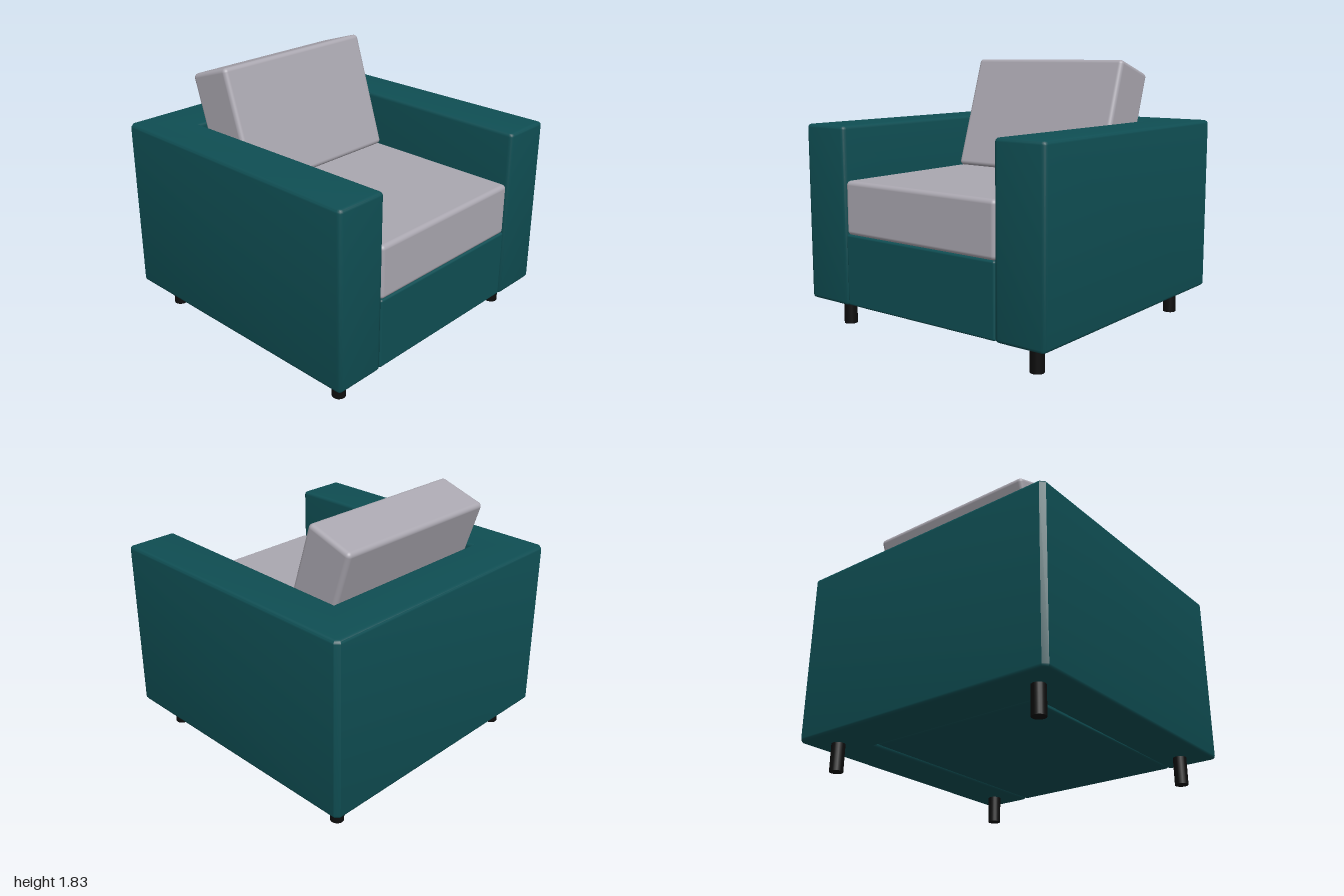
import * as THREE from 'three';
import { toCreasedNormals } from 'three/addons/utils/BufferGeometryUtils.js';
import { RoundedBoxGeometry } from 'three/addons/geometries/RoundedBoxGeometry.js';

const material = (name, color) => {
  const m = new THREE.MeshStandardMaterial({ color });
  m.name = name;
  return m;
};

// U-shaped plan of the arms and back; shape y is -z
function framePlan(r) {
  const s = new THREE.Shape();
  s.moveTo(-1 + r, 1);
  s.lineTo(-1, 1 - r);
  s.lineTo(-1, -1 + r);
  s.quadraticCurveTo(-1, -1, -1 + r, -1);
  s.lineTo(-0.635 - r, -1);
  s.quadraticCurveTo(-0.635, -1, -0.635, -1 + r);
  s.lineTo(-0.665, 0.64);
  s.lineTo(0.665, 0.64);
  s.lineTo(0.635, -1 + r);
  s.quadraticCurveTo(0.635, -1, 0.635 + r, -1);
  s.lineTo(1 - r, -1);
  s.quadraticCurveTo(1, -1, 1, -1 + r);
  s.lineTo(1, 1 - r);
  s.lineTo(1 - r, 1);
  return s;
}

export function createModel() {
  const chair = new THREE.Group();
  chair.name = 'armchair';
  const teal = material('teal upholstery', 0x0f4e53);
  const grey = material('grey cushion', 0xaaa7b0);
  const black = material('black leg', 0x0d0d0d);

  const add = (name, geometry, mat, x, y, z) => {
    const mesh = new THREE.Mesh(geometry, mat);
    mesh.name = name;
    mesh.position.set(x, y, z);
    chair.add(mesh);
    return mesh;
  };

  // Arms and back in one beveled piece, y 0.19 to 1.4
  const b = 0.024;
  const frame = new THREE.ExtrudeGeometry(framePlan(0.03), {
    depth: 1.21 - 2 * b, curveSegments: 4,
    bevelEnabled: true, bevelThickness: b, bevelSize: b, bevelOffset: -b, bevelSegments: 4,
  });
  frame.rotateX(-Math.PI / 2);
  add('armsAndBack', toCreasedNormals(frame, 0.6), teal, 0, 0.19 + b, 0);

  // Base under the seat, between the arms
  add('seatBase', new RoundedBoxGeometry(1.27, 0.485, 1.635, 3, 0.015), teal, 0, 0.4375, 0.1775);

  // Cushions
  add('seatCushion', new RoundedBoxGeometry(1.27, 0.365, 1.63, 4, 0.03), grey, 0, 0.858, 0.178);
  const back = add('backCushion', new RoundedBoxGeometry(1.27, 0.83, 0.36, 4, 0.03), grey, 0, 1.384, -0.436);
  back.rotation.x = -0.314;

  // Legs
  const leg = new THREE.CylinderGeometry(0.046, 0.046, 0.21, 20);
  for (const x of [-0.815, 0.815])
    for (const z of [-0.815, 0.815])
      add((z > 0 ? 'front' : 'back') + (x > 0 ? 'Left' : 'Right') + 'Leg', leg, black, x, 0.105, z);

  return chair;
}
